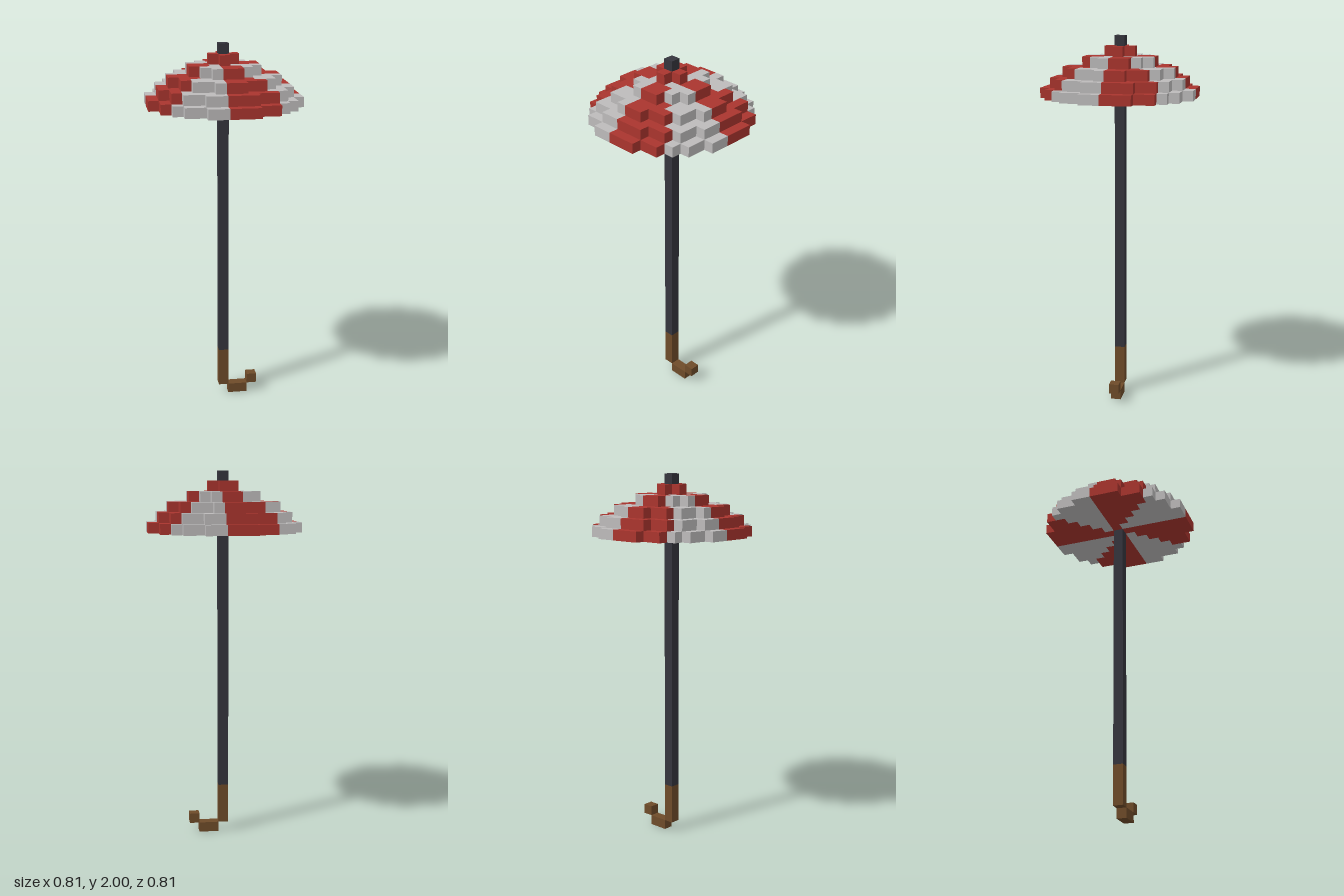
import * as THREE from 'three';
import { mergeGeometries } from 'three/addons/utils/BufferGeometryUtils.js';

const U = 2 / 37; // edge of one block

// Half width of every block row, from the centre row outwards, for each canopy layer
const LAYERS = [
  [7, 7, 7, 6, 6, 5, 4, 2],
  [6, 6, 6, 5, 5, 4, 2],
  [5, 5, 4, 4, 3, 1],
  [3, 3, 2, 1],
  [1, 0],
];
const CANOPY_BASE = 31;

const material = (name, color) => {
  const m = new THREE.MeshStandardMaterial({ color });
  m.name = name;
  return m;
};

// Box spanning block x0..x1, y0..y1, z (all inclusive)
function blocks(x0, x1, y0, y1, z) {
  return new THREE.BoxGeometry((x1 - x0 + 1) * U, (y1 - y0 + 1) * U, U)
    .translate(((x0 + x1) / 2) * U, ((y0 + y1 + 1) / 2) * U, z * U);
}

// One canopy panel; range gives the first and last block of row z
function panel(range) {
  const parts = [];
  LAYERS.forEach((rows, layer) => {
    for (let z = 1; z < rows.length; z++) {
      const [first, last] = range(z, rows[z]);
      const y = CANOPY_BASE + layer;
      if (first <= last) parts.push(blocks(first, last, y, y, z));
    }
  });
  return mergeGeometries(parts);
}

export function createModel() {
  const red = material('red cloth', 0xaa352e);
  const grey = material('pale grey cloth', 0xbdbbbb);
  const dark = material('dark metal', 0x35353d);
  const wood = material('brown wood', 0x6e4b29);

  const model = new THREE.Group();
  model.name = 'umbrella';
  const add = (name, geometry, mat, parent = model) => {
    const mesh = new THREE.Mesh(geometry, mat);
    mesh.name = name;
    parent.add(mesh);
    return mesh;
  };

  // Canopy: a red and a grey panel, repeated every quarter turn
  const canopy = new THREE.Group();
  canopy.name = 'canopy';
  model.add(canopy);
  const redPanel = panel((z, half) => [0, Math.min(z - 1, half)]);
  const greyPanel = panel((z, half) => [z, half]);
  for (let i = 0; i < 4; i++) {
    add('redPanel', redPanel, red, canopy).rotation.y = (i * Math.PI) / 2;
    add('greyPanel', greyPanel, grey, canopy).rotation.y = (i * Math.PI) / 2;
  }

  // Pole running through the canopy to the tip
  add('pole', blocks(0, 0, 5, 36, 0), dark);

  // Hooked handle
  const handle = new THREE.Group();
  handle.name = 'handle';
  model.add(handle);
  add('grip', blocks(0, 0, 1, 4, 0), wood, handle);
  add('hookBottom', blocks(1, 2, 0, 0, 0), wood, handle);
  add('hookEnd', blocks(3, 3, 1, 1, 0), wood, handle);

  return model;
}
